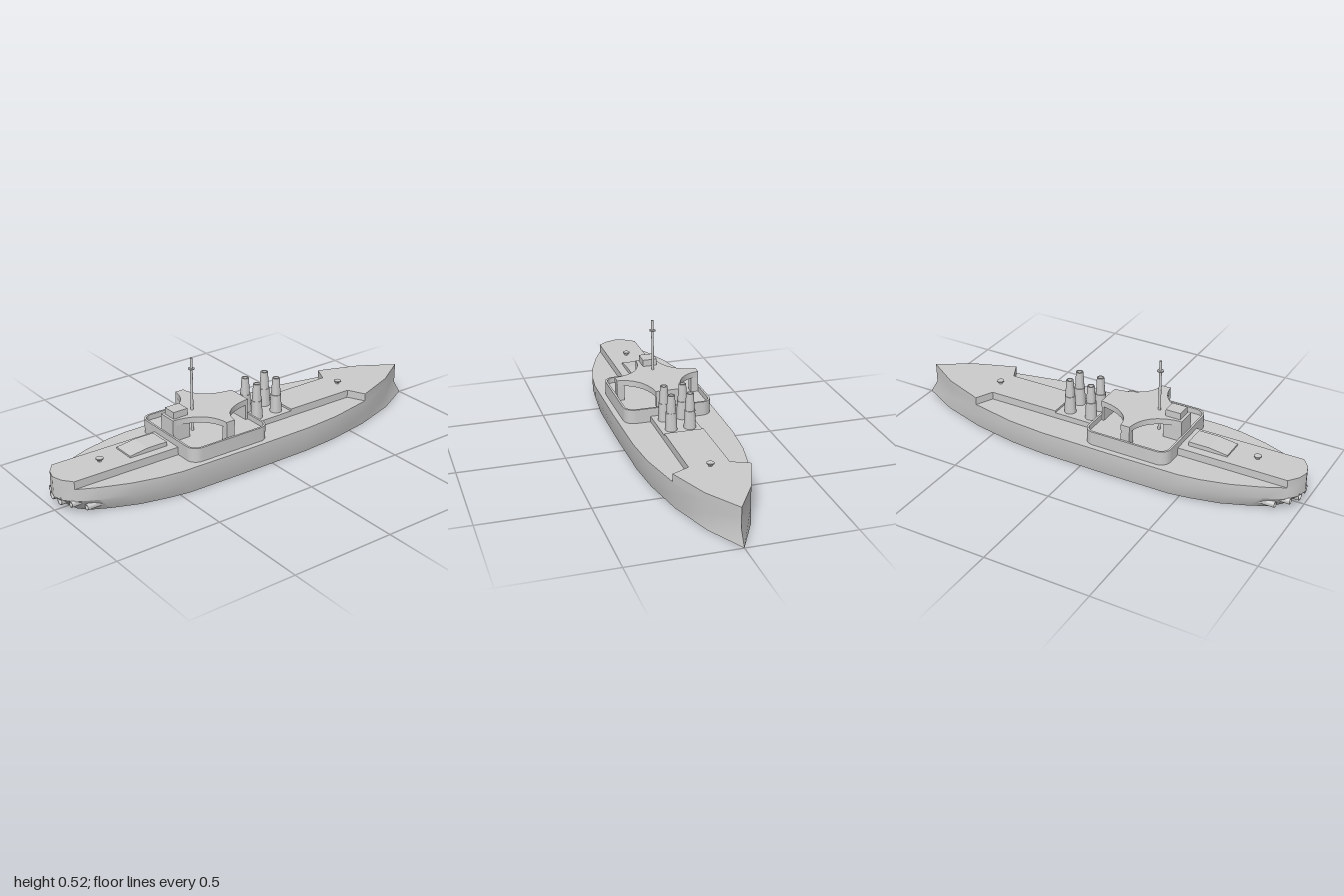
import * as THREE from 'three';
import { toCreasedNormals } from 'three/addons/utils/BufferGeometryUtils.js';

const material = new THREE.MeshStandardMaterial({ color: 0xcccccc, side: THREE.DoubleSide });

// half outlines as [x, z], bow (-z) to stern (+z)
const DECK = [[0, -0.96], [0.1, -0.8], [0.175, -0.6], [0.22, -0.38], [0.235, -0.2], [0.238, 0.15], [0.235, 0.5],
  [0.222, 0.6], [0.19, 0.73], [0.14, 0.86], [0.095, 0.95], [0.05, 0.985], [0, 1]];
const KEEL = [[0, -1], [0.095, -0.82], [0.165, -0.6], [0.205, -0.38], [0.22, -0.2], [0.223, 0.15], [0.22, 0.45],
  [0.205, 0.55], [0.175, 0.68], [0.127, 0.8], [0.085, 0.88], [0.045, 0.915], [0, 0.93]];

// full loop from a half outline
function mirror(half) {
  const other = half.filter(p => p[0] > 0).reverse().map(([x, z]) => [-x, z]);
  return [...half, ...other];
}

function add(group, name, geometry, x = 0, y = 0, z = 0) {
  const mesh = new THREE.Mesh(toCreasedNormals(geometry, 0.5), material);
  mesh.name = name;
  mesh.position.set(x, y, z);
  group.add(mesh);
  return mesh;
}

function box(group, name, x0, x1, y0, y1, z0, z1) {
  return add(group, name, new THREE.BoxGeometry(x1 - x0, y1 - y0, z1 - z0),
    (x0 + x1) / 2, (y0 + y1) / 2, (z0 + z1) / 2);
}

// upright slab from a plan shape drawn in (x, -z)
function slab(shape, height) {
  const g = new THREE.ExtrudeGeometry(shape, { depth: height, bevelEnabled: false, curveSegments: 10 });
  return g.rotateX(-Math.PI / 2);
}

function planShape(points) {
  return new THREE.Shape(points.map(([x, z]) => new THREE.Vector2(x, -z)));
}

// hull skin lofted through three level outlines, with deck and bottom
function hullGeometry() {
  const rings = [[KEEL, 0], [DECK, 0.066], [DECK, 0.125]].map(([half, y]) => mirror(half).map(([x, z]) => [x, y, z]));
  const n = rings[0].length;
  const pos = rings.flat(2);
  const index = [];
  for (let r = 0; r < 2; r++) {
    for (let i = 0; i < n; i++) {
      const a = r * n + i, b = r * n + (i + 1) % n;
      index.push(a, a + n, b, b, a + n, b + n);
    }
  }
  for (let i = 1; i < n - 1; i++) {
    index.push(0, i, i + 1);
    index.push(2 * n, 2 * n + i + 1, 2 * n + i);
  }
  const g = new THREE.BufferGeometry();
  g.setAttribute('position', new THREE.Float32BufferAttribute(pos, 3));
  g.setIndex(index);
  g.computeVertexNormals();
  return g;
}

function roundedRect(half, radius, cz) {
  const a = half - radius, s = new THREE.Shape();
  s.absarc(a, a - cz, radius, 0, Math.PI / 2);
  s.absarc(-a, a - cz, radius, Math.PI / 2, Math.PI);
  s.absarc(-a, -a - cz, radius, Math.PI, Math.PI * 1.5);
  s.absarc(a, -a - cz, radius, Math.PI * 1.5, Math.PI * 2);
  s.closePath();
  return s;
}

function lathe(points, segments = 20) {
  return new THREE.LatheGeometry(points.map(p => new THREE.Vector2(...p)), segments);
}

export function createModel() {
  const ship = new THREE.Group();
  ship.name = 'ship';
  add(ship, 'hull', hullGeometry());

  // raised centre deck: bow section, lower funnel section, stern section
  const bow = mirror([...DECK.slice(0, 3), [0.092, -0.56], [0.092, -0.21]]);
  add(ship, 'foreDeck', slab(planShape(bow), 0.037), 0, 0.125);
  box(ship, 'funnelDeck', -0.092, 0.092, 0.12, 0.152, -0.21, 0.02);
  const stern = mirror([[0.095, 0.02], ...DECK.slice(-3)]);
  add(ship, 'aftDeck', slab(planShape(stern), 0.037), 0, 0.125);

  // walled citadel with a sunken floor
  const wall = roundedRect(0.21, 0.05, 0.218);
  wall.holes.push(roundedRect(0.2, 0.04, 0.218));
  add(ship, 'citadelWall', slab(wall, 0.067), 0, 0.125);
  add(ship, 'citadelFloor', slab(roundedRect(0.203, 0.043, 0.218), 0.041), 0, 0.125);

  // bridge platform with four concave sides
  const plan = new THREE.Shape();
  plan.moveTo(0.062, -0.02);
  plan.bezierCurveTo(0.07, -0.12, 0.12, -0.192, 0.2, -0.196);
  plan.lineTo(0.2, -0.24);
  plan.bezierCurveTo(0.11, -0.246, 0.052, -0.31, 0.046, -0.415);
  plan.lineTo(-0.046, -0.415);
  plan.bezierCurveTo(-0.052, -0.31, -0.11, -0.246, -0.2, -0.24);
  plan.lineTo(-0.2, -0.196);
  plan.bezierCurveTo(-0.12, -0.192, -0.07, -0.12, -0.062, -0.02);
  add(ship, 'bridgePlatform', slab(plan, 0.028), 0, 0.24);
  for (const s of [-1, 1]) {
    box(ship, 'wingSupport', s * 0.1825 - 0.0175, s * 0.1825 + 0.0175, 0.16, 0.241, 0.197, 0.239);
  }
  box(ship, 'rearSupport', -0.06, 0.06, 0.15, 0.241, 0.021, 0.032);
  box(ship, 'pilotHouse', -0.047, 0.047, 0.16, 0.268, 0.33, 0.42);
  box(ship, 'lookoutBox', -0.034, 0.034, 0.267, 0.3, 0.333, 0.407);

  // mast
  add(ship, 'mast', new THREE.CylinderGeometry(0.006, 0.006, 0.355, 12), 0, 0.3395, 0.285);
  add(ship, 'mastRing', new THREE.CylinderGeometry(0.015, 0.015, 0.005, 16), 0, 0.467, 0.285);

  // hollow stepped funnels
  const funnel = [[0.028, 0.15], [0.024, 0.232], [0.025, 0.232], [0.025, 0.238], [0.022, 0.238],
    [0.017, 0.32], [0.012, 0.32], [0.012, 0.25], [0, 0.25]];
  for (const x of [-0.044, 0.044]) {
    for (const z of [-0.045, -0.157]) add(ship, 'funnel', lathe(funnel), x, 0, z);
  }

  // sloped hatch on the aft deck
  const side = new THREE.Shape([[0.46, 0.155], [0.65, 0.155], [0.65, 0.17], [0.56, 0.182], [0.46, 0.182]]
    .map(([z, y]) => new THREE.Vector2(-z, y)));
  const hatch = new THREE.ExtrudeGeometry(side, { depth: 0.11, bevelEnabled: false });
  const hatchMesh = add(ship, 'hatch', hatch.rotateY(Math.PI / 2), -0.055);
  hatchMesh.geometry.computeVertexNormals();

  // capstans
  const capstan = [[0.009, 0.16], [0.009, 0.168], [0.017, 0.173], [0.017, 0.178], [0, 0.179]];
  for (const z of [0.77, -0.575]) add(ship, 'capstan', lathe(capstan, 16), 0, 0, z);

  // stern tubes: x, y, radius, outer end z
  const tubes = [[0.031, 0.057, 0.02, 0.99], [0.087, 0.056, 0.014, 0.968], [0.115, 0.036, 0.014, 0.91]];
  for (const [x, y, r, end] of tubes) {
    const g = lathe([[r, -0.12], [r, 0], [r * 0.83, 0], [r * 0.83, -0.035], [0, -0.035]], 16);
    g.rotateX(Math.PI / 2);
    for (const s of [-1, 1]) add(ship, 'sternTube', g, s * x, y, end);
  }
  return ship;
}
